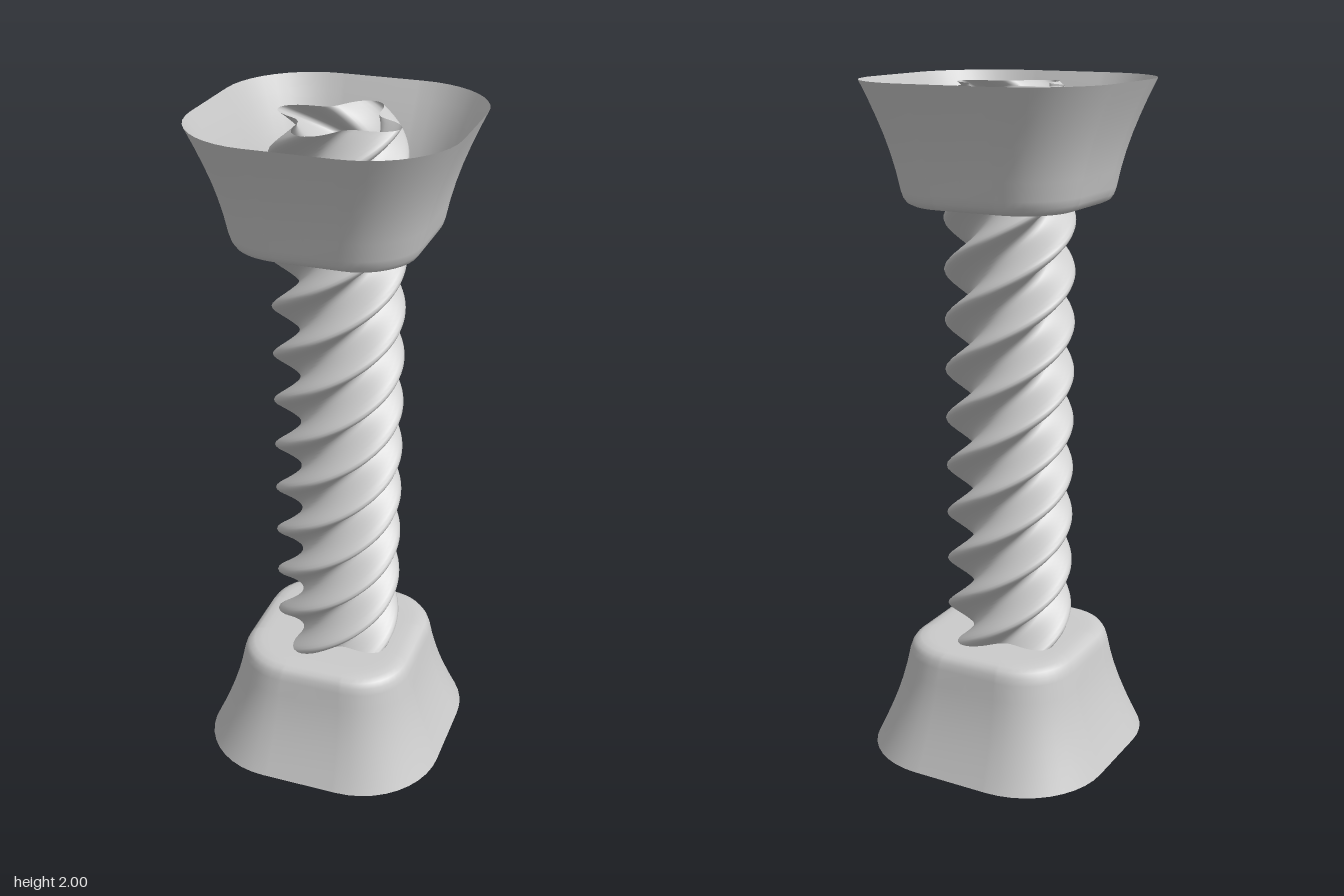
import * as THREE from 'three';

const material = new THREE.MeshStandardMaterial({ color: 0xcccccc, side: THREE.DoubleSide });

// Skin a stack of equal-length closed rings with smooth normals
function loft(rings) {
  const n = rings[0].length;
  const index = [];
  for (let i = 0; i < rings.length - 1; i++) {
    for (let j = 0; j < n; j++) {
      const a = i * n + j, b = i * n + (j + 1) % n;
      index.push(a, b, b + n, a, b + n, a + n);
    }
  }
  const geometry = new THREE.BufferGeometry().setFromPoints(rings.flat());
  geometry.setIndex(index);
  geometry.computeVertexNormals();
  return geometry;
}

// Rounded square: half width, half length of the flat sides, height
function roundedSquare(half, flat, y) {
  const points = [];
  const r = half - flat, arc = 10;
  for (let c = 0; c < 4; c++) {
    const turn = c * Math.PI / 2;
    const add = (x, z) => points.push(new THREE.Vector3(
      x * Math.cos(turn) + z * Math.sin(turn), y, z * Math.cos(turn) - x * Math.sin(turn)));
    for (const t of [-0.5, 0, 0.5]) add(t * 2 * flat * 0.9, half);
    for (let k = 0; k <= arc; k++) {
      const a = k / arc * Math.PI / 2;
      add(flat + r * Math.sin(a), flat + r * Math.cos(a));
    }
  }
  return points;
}

// Flared cup, open at its wide rim and closed by a flat floor
function cupGeometry() {
  const profile = [
    [0.37, 0.12, 0], [0.347, 0.117, 0.05], [0.326, 0.114, 0.1], [0.307, 0.111, 0.15],
    [0.291, 0.108, 0.2], [0.278, 0.105, 0.25], [0.268, 0.102, 0.3], [0.262, 0.1, 0.32],
    [0.253, 0.098, 0.334], [0.237, 0.095, 0.342], [0.215, 0.09, 0.345],
    [0.19, 0.08, 0.345], [0.1, 0.04, 0.345], [0.0005, 0.0002, 0.345],
  ];
  return loft(profile.map(([half, flat, y]) => roundedSquare(half, flat, y)));
}

// Hollow four-lobed column twisted a quarter turn per pitch, open at both ends
function columnGeometry() {
  const bottom = 0.015, top = 1.985, pitch = 0.1475, crestHeight = 1.565;
  const steps = 220, sides = 72;
  const rings = [];
  for (let i = 0; i <= steps; i++) {
    const y = bottom + (top - bottom) * i / steps;
    const twist = (y - crestHeight) / pitch * Math.PI / 2;
    const ring = [];
    for (let j = 0; j < sides; j++) {
      const a = j / sides * Math.PI * 2;
      const r = 0.11 + 0.078 * Math.pow((1 + Math.cos(4 * a)) / 2, 1.25);
      ring.push(new THREE.Vector3(r * Math.sin(a + twist), y, r * Math.cos(a + twist)));
    }
    rings.push(ring);
  }
  return loft(rings);
}

export function createModel() {
  const group = new THREE.Group();
  group.name = 'twistedPillar';

  const column = new THREE.Mesh(columnGeometry(), material);
  column.name = 'twistedColumn';

  // Matching cups: foot flares down, head flares up
  const cup = cupGeometry();
  const base = new THREE.Mesh(cup, material);
  base.name = 'baseCup';
  const capital = new THREE.Mesh(cup, material);
  capital.name = 'topCup';
  capital.rotation.x = Math.PI;
  capital.position.y = 2;

  group.add(column, base, capital);
  return group;
}
